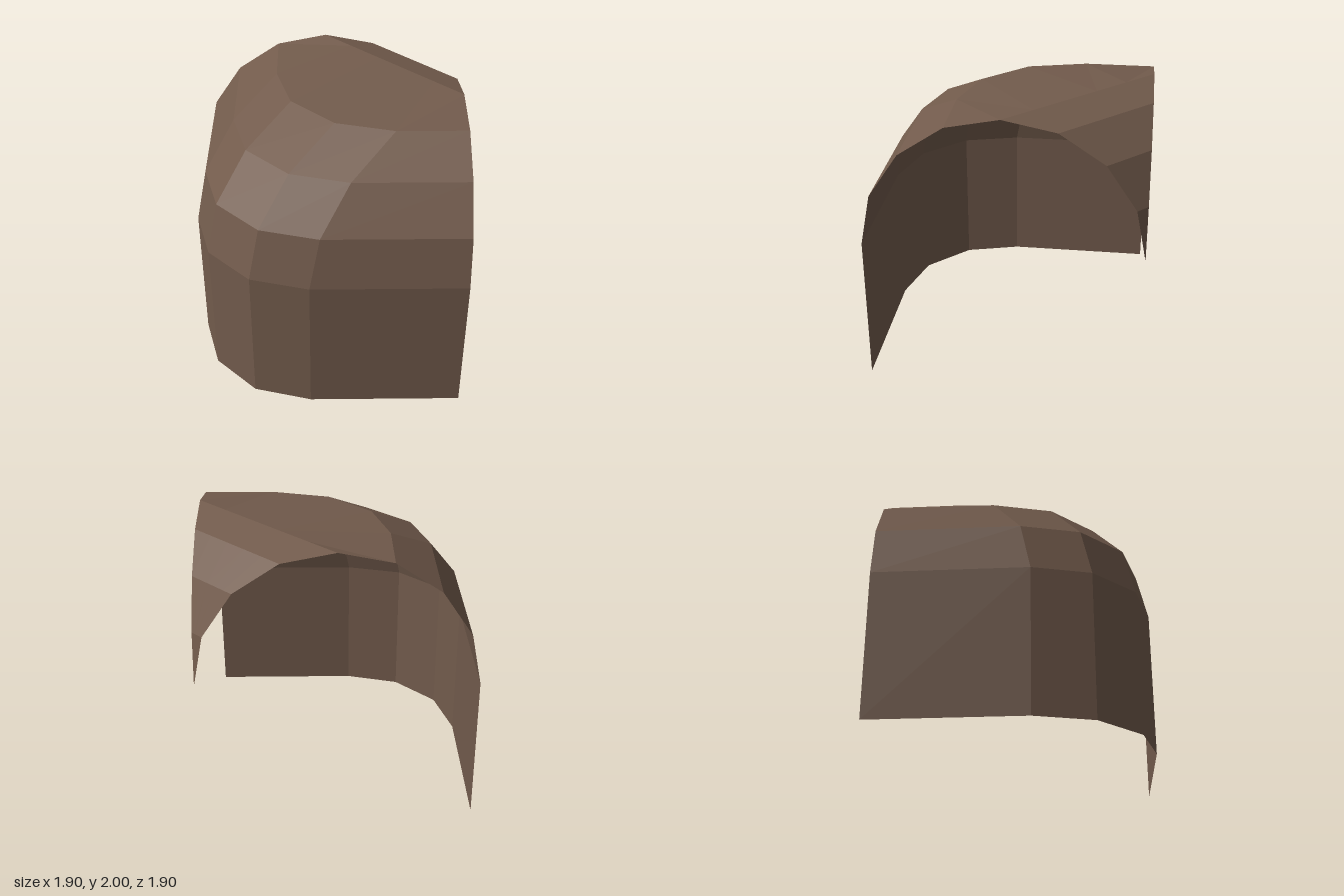
import * as THREE from 'three';

const HALF = 0.95;      // half the width, also the arch radius
const SPRING = 1.05;    // height where the arch starts
const BEND = 0.82;      // radius of the outer corner
const COLUMNS = 5;      // segments along the bend
const ARCH = 8;         // segments across the vault

// One line along the bend, at offset d from the tunnel axis and height y.
// It runs from the back opening (z = -HALF) to the left opening (x = HALF).
function bendLine(d, y) {
  const start = new THREE.Vector3(-d, y, -HALF);
  const end = new THREE.Vector3(HALF, y, d);
  const line = [];
  if (d > 0.01) {
    // outer side: straight, rounded corner, straight
    const c = BEND - d;
    line.push(start);
    for (let k = 0; k <= 3; k++) {
      const a = (k / 3) * Math.PI / 2;
      line.push(new THREE.Vector3(c - BEND * Math.cos(a), y, -c + BEND * Math.sin(a)));
    }
    line.push(end);
  } else {
    // crown and inner side: a straight diagonal that shrinks to the inner corner
    for (let k = 0; k <= COLUMNS; k++) line.push(start.clone().lerp(end, k / COLUMNS));
  }
  return line;
}

// Skin between successive lines
function skin(rows) {
  const pos = [];
  const tri = (a, b, c) => {
    if (a.distanceTo(b) > 1e-4 && b.distanceTo(c) > 1e-4 && c.distanceTo(a) > 1e-4) {
      for (const p of [a, b, c]) pos.push(p.x, p.y, p.z);
    }
  };
  for (let i = 0; i < rows.length - 1; i++) {
    for (let j = 0; j < COLUMNS; j++) {
      const a = rows[i][j], b = rows[i][j + 1];
      const c = rows[i + 1][j + 1], d = rows[i + 1][j];
      tri(a, b, c);
      tri(a, c, d);
    }
  }
  const geo = new THREE.BufferGeometry();
  geo.setAttribute('position', new THREE.Float32BufferAttribute(pos, 3));
  geo.computeVertexNormals();
  return geo;
}

export function createModel() {
  const group = new THREE.Group();
  group.name = 'tunnelCorner';
  const rock = new THREE.MeshStandardMaterial({
    name: 'brown rock', color: 0x725b4c, flatShading: true, side: THREE.DoubleSide,
  });

  // Upright outer wall
  const wall = new THREE.Mesh(skin([bendLine(HALF, 0), bendLine(HALF, SPRING)]), rock);
  wall.name = 'outerWall';

  // Vault from the outer wall over the crown to the inner corner
  const rows = [];
  for (let i = 0; i <= ARCH; i++) {
    const a = (i / ARCH) * Math.PI;
    rows.push(bendLine(HALF * Math.cos(a), SPRING + HALF * Math.sin(a)));
  }
  const vault = new THREE.Mesh(skin(rows), rock);
  vault.name = 'vault';

  group.add(wall, vault);
  return group;
}
